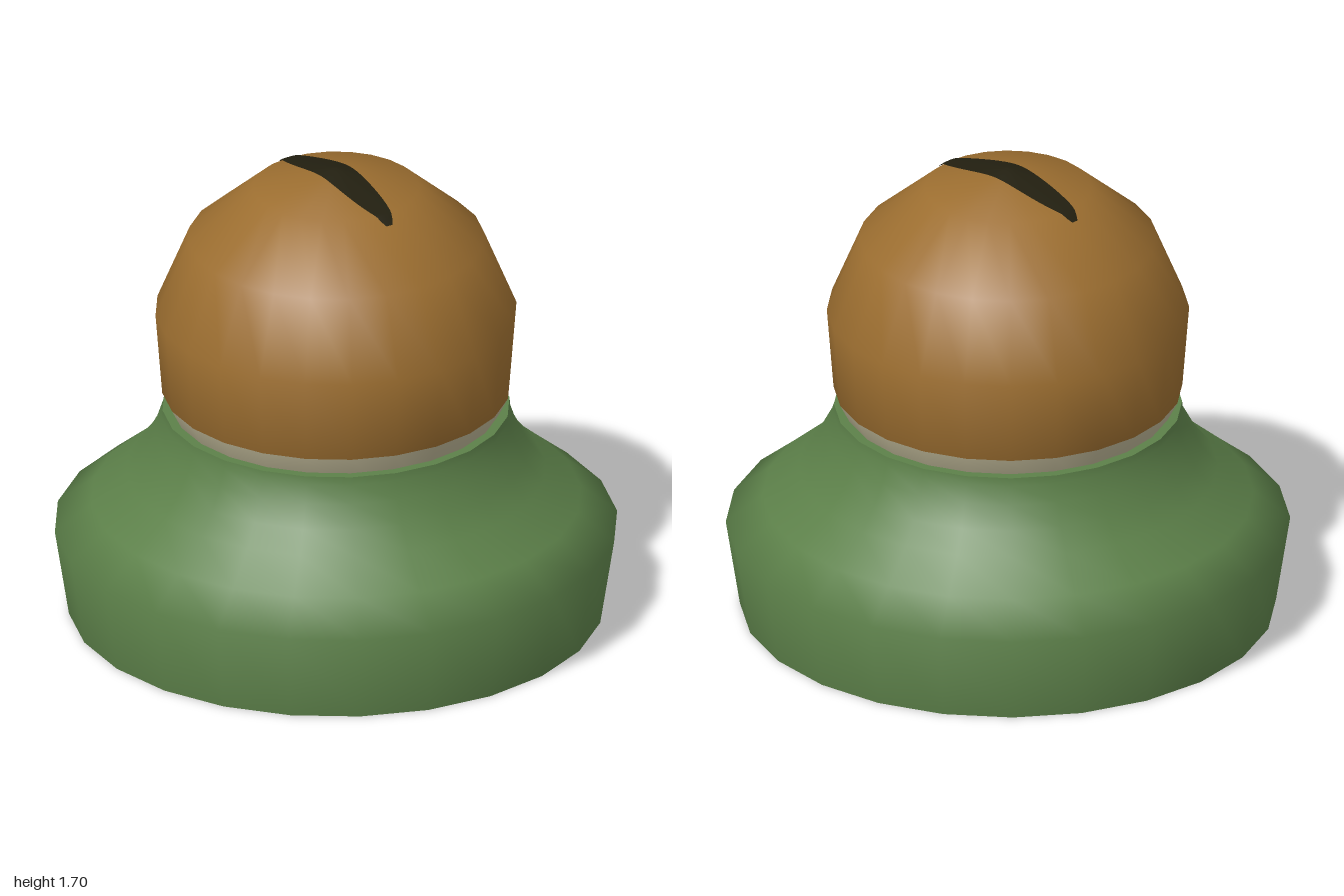
import * as THREE from 'three';

const SIDES = 24, R = 0.65, EYE_Y = 1.05, SPLIT = Math.PI * 0.6;

const material = (name, color, side = THREE.FrontSide) => {
  const m = new THREE.MeshStandardMaterial({ color, side });
  m.name = name;
  return m;
};

// Height of the faceted eyeball top at a distance r from its axis
function eyeHeight(r) {
  const step = SPLIT / 4;
  const ring = i => [R * Math.sin(i * step), EYE_Y + R * Math.cos(i * step)];
  const i = r < ring(1)[0] ? 0 : 1;
  const [r0, y0] = ring(i), [r1, y1] = ring(i + 1);
  return y0 + (y1 - y0) * (r - r0) / (r1 - r0);
}

export function createModel() {
  const green = material('lid green', 0x5c8049, THREE.DoubleSide);
  const brown = material('iris brown', 0x9c6e30);
  const cream = material('eye white', 0xb8b192);
  const black = material('pupil black', 0x221f10, THREE.DoubleSide);

  const group = new THREE.Group();
  const add = (name, geometry, mat) => {
    const mesh = new THREE.Mesh(geometry, mat);
    mesh.name = name;
    group.add(mesh);
    return mesh;
  };

  // Hollow base: flared skirt rising into a concave collar
  const profile = [
    [0.95, 0], [1, 0.32], [0.87, 0.425], [0.745, 0.53], [0.685, 0.605],
    [0.642, 0.685], [0.62, 0.75], [0.617, 0.78]
  ].map(p => new THREE.Vector2(...p));
  add('base', new THREE.LatheGeometry(profile, SIDES), green);

  // Flat rim closing the collar against the eyeball
  const rim = new THREE.RingGeometry(0.57, 0.617, SIDES).rotateX(-Math.PI / 2);
  add('collarRim', rim, green).position.y = 0.78;

  // Eyeball: iris cap above, white below
  add('iris', new THREE.SphereGeometry(R, SIDES, 4, 0, Math.PI * 2, 0, SPLIT), brown).position.y = EYE_Y;
  add('eyeWhite', new THREE.SphereGeometry(R, SIDES, 4, 0, Math.PI * 2, SPLIT, Math.PI - SPLIT), cream).position.y = EYE_Y;

  // Slit pupil: thin ellipse draped over the top of the iris
  const slit = new THREE.PlaneGeometry(2, 2, 40, 6).rotateX(-Math.PI / 2);
  const pos = slit.attributes.position;
  for (let i = 0; i < pos.count; i++) {
    const u = pos.getX(i);
    const x = 0.33 * u;
    const z = 0.065 * pos.getZ(i) * Math.sqrt(1 - 0.96 * u * u);
    pos.setXYZ(i, x, eyeHeight(Math.hypot(x, z)) + 0.004, z);
  }
  slit.computeVertexNormals();
  add('pupil', slit, black);

  return group;
}
